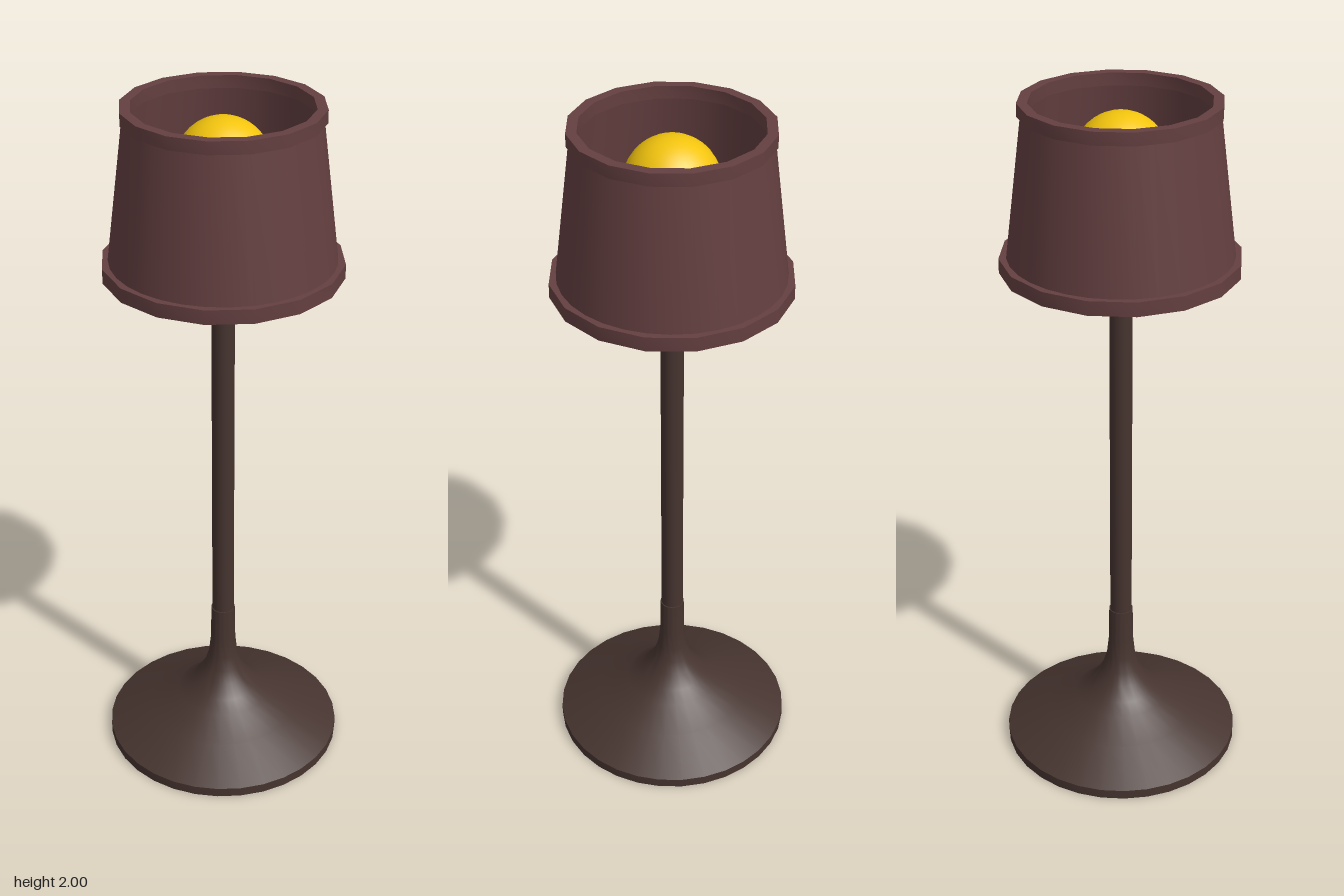
import * as THREE from 'three';
import { toCreasedNormals } from 'three/addons/utils/BufferGeometryUtils.js';

const metal = new THREE.MeshStandardMaterial({ color: 0x46342f });
const fabric = new THREE.MeshStandardMaterial({ color: 0x643f40, side: THREE.DoubleSide });
const glow = new THREE.MeshStandardMaterial({ color: 0xf2c40e });

// Revolve a profile of [radius, height] pairs, keeping hard edges sharp
function lathe(profile, sides, phase = 0) {
  const points = profile.map(([r, y]) => new THREE.Vector2(r, y));
  return toCreasedNormals(new THREE.LatheGeometry(points, sides, phase), Math.PI / 6);
}

function ring(inner, outer, y0, y1) {
  return lathe([[inner, y0], [outer, y0], [outer, y1], [inner, y1], [inner, y0]], 16);
}

export function createModel() {
  const lamp = new THREE.Group();
  lamp.name = 'tableLamp';
  const add = (name, geometry, material, parent = lamp) => {
    const mesh = new THREE.Mesh(geometry, material);
    mesh.name = name;
    parent.add(mesh);
    return mesh;
  };

  // Flared foot sweeping up into a slender neck
  add('base', lathe([
    [0, 0], [0.348, 0], [0.348, 0.028], [0.225, 0.093], [0.14, 0.138], [0.105, 0.164],
    [0.075, 0.2], [0.055, 0.235], [0.043, 0.275], [0.037, 0.33], [0.035, 0.44], [0, 0.44],
  ], 32, Math.PI / 32), metal);

  // Stem up to the bulb
  const stem = add('stem', new THREE.CylinderGeometry(0.032, 0.032, 1.34, 24), metal);
  stem.position.y = 1.07;

  // Bulb
  const bulb = add('bulb', new THREE.SphereGeometry(0.128, 32, 20), glow);
  bulb.position.y = 1.84;

  // Tapered open shade with a band at each end
  const shade = new THREE.Group();
  shade.name = 'shade';
  lamp.add(shade);
  add('shadeWall', lathe([[0.309, 1.56], [0.257, 1.98]], 32), fabric, shade);
  add('lowerBand', ring(0.297, 0.327, 1.54, 1.58), fabric, shade);
  add('upperBand', ring(0.24, 0.268, 1.965, 2), fabric, shade);

  // Thin spokes holding the shade to the stem
  const spokes = new THREE.Group();
  spokes.name = 'shadeSpokes';
  lamp.add(spokes);
  for (let i = 0; i < 8; i++) {
    const geometry = new THREE.BoxGeometry(0.285, 0.012, 0.008);
    geometry.translate(0.1425, 1.733, 0);
    add('spoke', geometry, metal, spokes).rotation.y = (i * Math.PI) / 4;
  }
  return lamp;
}
